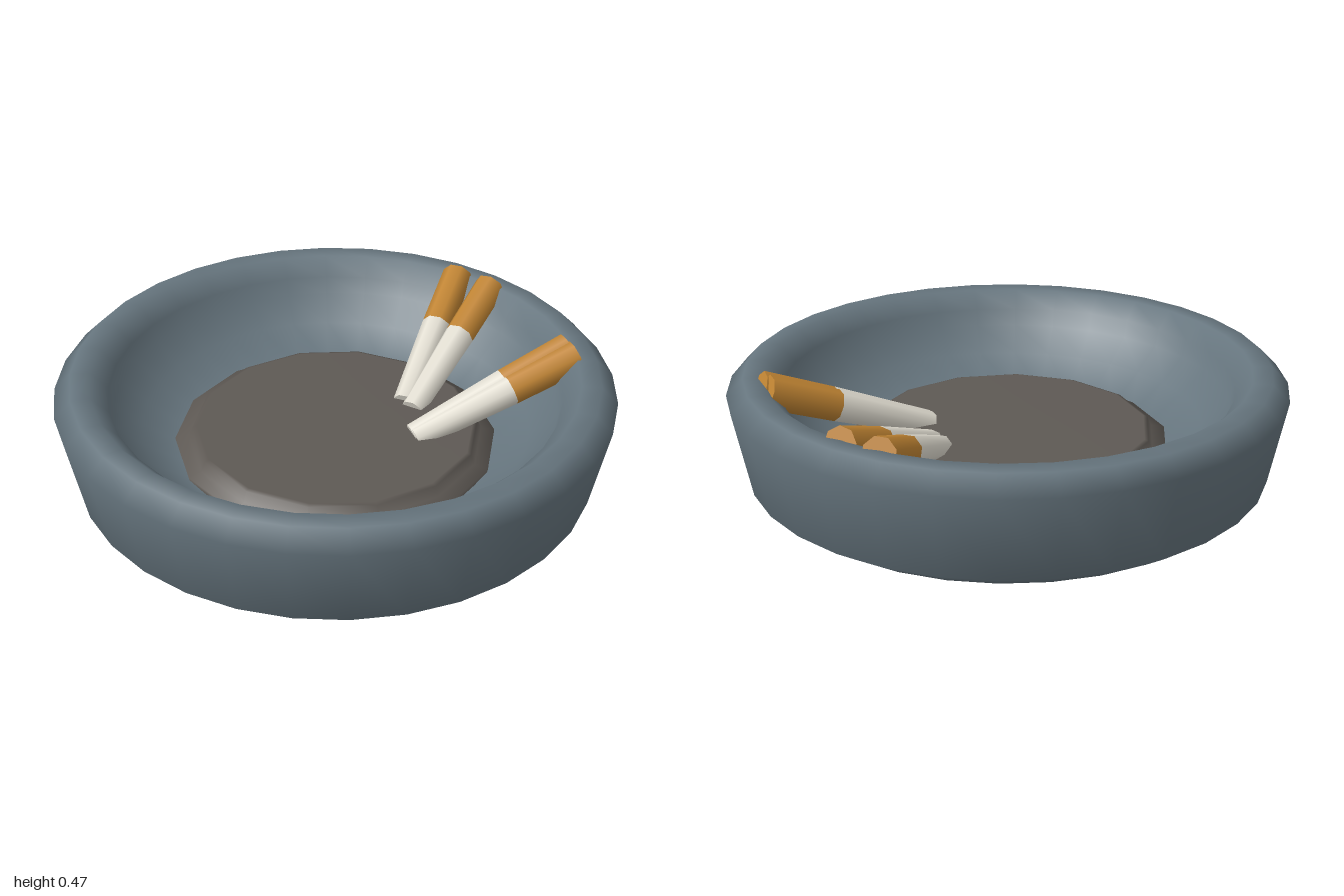
import * as THREE from 'three';

const V = (x, y, z) => new THREE.Vector3(x, y, z);
const mat = (color) => new THREE.MeshStandardMaterial({ color });

// Round body from a list of [radius, height] points
function turned(name, profile, sides, start, material) {
  const points = profile.map(([r, y]) => new THREE.Vector2(r, y));
  const mesh = new THREE.Mesh(new THREE.LatheGeometry(points, sides, start), material);
  mesh.name = name;
  return mesh;
}

// Tapered rod running from a to b
function rod(name, a, b, ra, rb, material) {
  const mesh = new THREE.Mesh(new THREE.CylinderGeometry(rb, ra, a.distanceTo(b), 8), material);
  mesh.position.copy(a).add(b).multiplyScalar(0.5);
  mesh.quaternion.setFromUnitVectors(V(0, 1, 0), b.clone().sub(a).normalize());
  mesh.name = name;
  return mesh;
}

export function createModel() {
  const group = new THREE.Group();
  group.name = 'ashtray';
  const filterMat = mat(0xc08433);
  const paperMat = mat(0xe2ded2);

  // Bowl: flat base, flared wall, bevelled rim, short lip and conical inside
  group.add(turned('bowl', [
    [0, 0], [0.85, 0], [0.94, 0.06], [1, 0.365], [0.94, 0.425],
    [0.87, 0.425], [0.81, 0.362], [0.795, 0.295], [0.7, 0.21], [0.55, 0.105], [0, 0.1],
  ], 32, 0, mat(0x66757e)));

  // Ash bed: raised plateau with a lower ledge around it
  group.add(turned('ashBed', [
    [0.575, 0.1], [0.585, 0.14], [0.535, 0.15], [0.52, 0.186], [0.505, 0.191], [0, 0.191],
  ], 14, Math.PI / 2, mat(0x5e5954)));

  // Cigarette butts: filter end on the rim, tip pushed into the ash
  const butts = [
    [V(0.52, 0.413, -0.7), V(0.265, 0.178, -0.14)],
    [V(0.635, 0.413, -0.6), V(0.29, 0.178, -0.09)],
    [V(0.855, 0.413, -0.11), V(0.275, 0.178, 0.08)],
    [V(0.877, 0.41, -0.06), V(0.285, 0.178, 0.095)],
  ];
  for (const [end, tip] of butts) {
    const butt = new THREE.Group();
    butt.name = 'cigaretteButt';
    const joint = end.clone().lerp(tip, 0.41);
    butt.add(rod('filter', end, joint, 0.06, 0.057, filterMat));
    butt.add(rod('paper', joint, tip, 0.057, 0.044, paperMat));
    group.add(butt);
  }
  return group;
}
